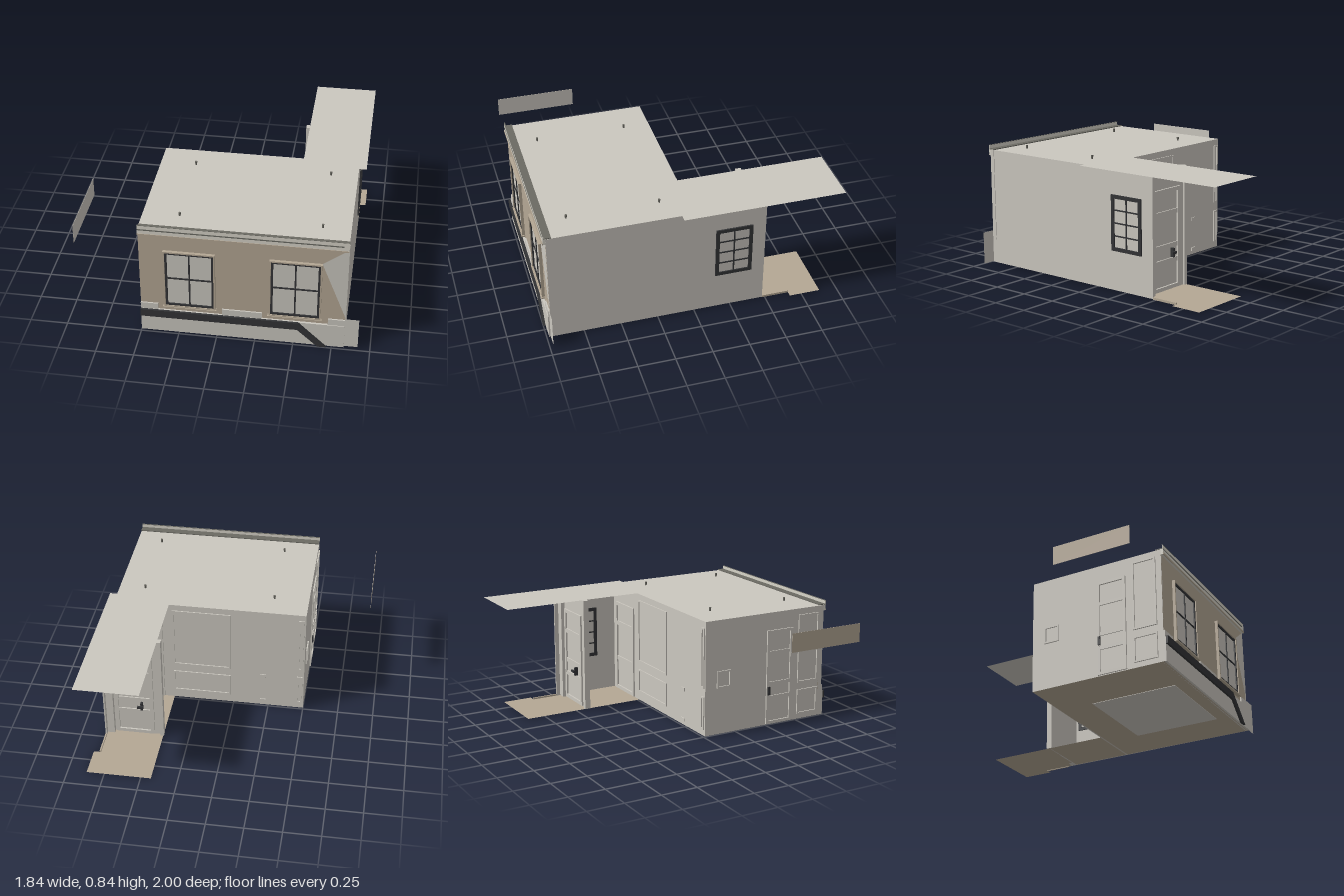
import * as THREE from 'three';

export function createModel() {
  const root = new THREE.Group();
  const mat = (name, color) => {
    const m = new THREE.MeshStandardMaterial({ color, side: THREE.DoubleSide });
    m.name = name;
    return m;
  };
  const plaster = mat('plaster grey', 0xcbc7bf);
  const tan = mat('warm tan', 0xb4a794);
  const cream = mat('cornice cream', 0xd6d3c8);
  const black = mat('frame black', 0x333436);
  const lead = mat('roof edge grey', 0x6b6a63);

  // Box given by its bounds
  function box(name, m, x0, x1, y0, y1, z0, z1, parent = root) {
    const mesh = new THREE.Mesh(new THREE.BoxGeometry(x1 - x0, y1 - y0, z1 - z0), m);
    mesh.position.set((x0 + x1) / 2, (y0 + y1) / 2, (z0 + z1) / 2);
    mesh.name = name;
    parent.add(mesh);
    return mesh;
  }
  const shapeOf = (pts) => new THREE.Shape(pts.map(([x, y]) => new THREE.Vector2(x, y)));
  // Flat outline facing +z, or lying flat when points are (x, z)
  function plate(name, m, pts, at, flat = false) {
    const mesh = new THREE.Mesh(new THREE.ShapeGeometry(
      shapeOf(flat ? pts.map(([x, z]) => [x, -z]) : pts)), m);
    if (flat) { mesh.rotation.x = -Math.PI / 2; mesh.position.y = at; } else mesh.position.z = at;
    mesh.name = name;
    root.add(mesh);
  }
  // Rectangular frame with optional bars, in its own xy plane centred on z = 0
  function frame(name, m, u0, u1, v0, v1, w, d, vBars = [], hBars = [], bar = 0.012) {
    const g = new THREE.Group();
    g.name = name;
    const b = (x0, x1, y0, y1, t) => box(name + ' bar', m, x0, x1, y0, y1, -t / 2, t / 2, g);
    b(u0, u0 + w, v0, v1, d);
    b(u1 - w, u1, v0, v1, d);
    b(u0 + w, u1 - w, v0, v0 + w, d);
    b(u0 + w, u1 - w, v1 - w, v1, d);
    vBars.forEach((u) => b(u - bar / 2, u + bar / 2, v0 + w, v1 - w, d * 0.7));
    hBars.forEach((v) => b(u0 + w, u1 - w, v - bar / 2, v + bar / 2, d * 0.6));
    root.add(g);
    return g;
  }
  const onBack = (g, z) => { g.position.z = z; return g; };
  // Turn so the frame's u axis runs along world z
  const onSide = (g, x) => { g.rotation.y = -Math.PI / 2; g.position.x = x; return g; };

  // Roof and floor
  plate('roof', plaster, [[-0.5, 0.01], [0.45, 0.01], [0.45, -1], [0.88, -1], [0.88, 0.09],
    [0.83, 0.09], [0.83, 0.97], [-0.5, 0.97]], 0.805, true);
  plate('floor', tan, [[-0.5, 0.01], [0.43, 0.01], [0.43, -0.88], [0.87, -0.88], [0.87, -0.667],
    [0.83, -0.667], [0.83, 0.97], [-0.5, 0.97]], 0.004, true);
  box('floorInset', plaster, -0.14, 0.52, 0, 0.003, 0.26, 0.87);
  box('threshold', tan, 0.82, 0.83, 0, 0.015, -0.667, -0.48);

  // Walls
  box('rightWall', plaster, 0.82, 0.83, 0.004, 0.804, -0.48, 0.97);
  box('leftWall', plaster, -0.5, -0.49, 0.004, 0.804, 0.01, 0.97);
  box('backWall', plaster, -0.49, 0.82, 0.004, 0.804, 0.01, 0.02);
  box('passageWall', plaster, 0.43, 0.82, 0.004, 0.804, -0.42, -0.41);
  box('passagePost', plaster, 0.425, 0.45, 0.004, 0.804, -0.435, -0.395);
  box('passageTrim', plaster, 0.77, 0.82, 0.004, 0.804, -0.45, -0.42);

  // Back wall panels and outlets
  [[0.02, 0.43, 0.3, 0.76], [0.02, 0.43, 0.07, 0.24], [-0.49, -0.45, 0.34, 0.76], [-0.49, -0.45, 0.05, 0.28]]
    .forEach(([a, b, c, d]) => onBack(frame('backPanel', plaster, a, b, c, d, 0.012, 0.012), 0.008));
  [0.25, 0.03].forEach((y) => box('outlet', plaster, -0.23, -0.19, y, y + 0.025, 0.003, 0.01));

  // Panelled doors on the passage wall, the back wall and the left wall
  onBack(frame('passageDoor', plaster, 0.49, 0.76, 0.01, 0.68, 0.025, 0.016, [], [0.2, 0.3, 0.52], 0.03), -0.424);
  onBack(frame('innerDoor', plaster, 0.5, 0.78, 0.01, 0.68, 0.025, 0.016, [], [0.25, 0.52], 0.03), 0.006);
  onSide(frame('leftDoor', plaster, 0.5, 0.71, 0.01, 0.68, 0.02, 0.014, [], [0.2, 0.3, 0.52], 0.025), -0.503);
  box('passageHandle', black, 0.56, 0.6, 0.245, 0.26, -0.46, -0.445);
  box('passageHandlePlate', black, 0.565, 0.58, 0.22, 0.28, -0.446, -0.42);
  box('leftHandle', black, -0.518, -0.509, 0.22, 0.28, 0.508, 0.525);

  // Left wall panels
  [[0.76, 0.93, 0.27, 0.76], [0.76, 0.93, 0.04, 0.22], [0.1, 0.21, 0.33, 0.45]]
    .forEach(([a, b, c, d]) => onSide(frame('leftPanel', plaster, a, b, c, d, 0.012, 0.012), -0.503));

  // Window in the right wall
  box('sideGlass', plaster, 0.83, 0.832, 0.28, 0.63, -0.38, -0.15);
  onSide(frame('sideWindow', black, -0.39, -0.14, 0.27, 0.64, 0.024, 0.016,
    [-0.265], [0.37, 0.455, 0.54], 0.009), 0.832);
  onSide(frame('sideWindowInside', black, -0.39, -0.14, 0.27, 0.64, 0.024, 0.01,
    [-0.265], [0.37, 0.455, 0.54], 0.009), 0.818);

  // Facade with a pale corner, plinth and pedestal blocks
  box('facade', tan, -0.5, 0.83, 0.17, 0.775, 0.94, 0.97);
  box('facadeEnd', plaster, 0.83, 0.834, 0.17, 0.805, 0.94, 0.97);
  plate('paleCorner', plaster, [[0.83, 0.77], [0.67, 0.65], [0.83, 0.24]], 0.973);
  box('plinth', plaster, -0.5, 0.83, 0.004, 0.175, 0.955, 0.985);
  [[-0.5, -0.385], [0.035, 0.295], [0.72, 0.83]].forEach(([a, b]) =>
    box('pedestal', plaster, a, b, 0.175, 0.22, 0.955, 0.98));
  plate('cornerPanel', plaster, [[0.83, 0.008], [0.92, 0.008], [0.92, 0.23], [0.83, 0.23]], 0.975);

  // Front windows
  [-0.175, 0.505].forEach((x) => {
    box('frontGlass', plaster, x - 0.15, x + 0.15, 0.225, 0.64, 0.968, 0.974);
    onBack(frame('frontWindow', black, x - 0.157, x + 0.157, 0.222, 0.64, 0.014, 0.016, [x], [0.437], 0.01), 0.975);
    onBack(frame('frontTrim', tan, x - 0.167, x + 0.167, 0.212, 0.65, 0.01, 0.024), 0.978);
    box('sill', tan, x - 0.175, x + 0.175, 0.205, 0.215, 0.965, 0.995);
  });

  // Dark band that drops to the ground at the right
  const band = new THREE.Mesh(new THREE.ExtrudeGeometry(shapeOf([[-0.5, 0.125], [0.525, 0.125],
    [0.66, 0.002], [0.715, 0.002], [0.53, 0.178], [-0.5, 0.178]]), { depth: 0.015, bevelEnabled: false }), black);
  band.position.z = 0.985;
  band.name = 'slopingBand';
  root.add(band);

  // Cornice: stepped cream front with a dark top
  box('corniceLower', cream, -0.5, 0.832, 0.765, 0.805, 0.965, 0.985);
  box('corniceLine', lead, -0.5, 0.8, 0.8, 0.808, 0.984, 0.988);
  box('corniceFront', cream, -0.5, 0.832, 0.775, 0.834, 0.98, 0.986);
  box('corniceTop', lead, -0.5, 0.832, 0.806, 0.812, 0.932, 0.98);
  box('corniceCap', lead, -0.5, 0.832, 0.834, 0.836, 0.978, 0.987);
  box('corniceBead', tan, -0.5, 0.832, 0.765, 0.775, 0.985, 0.99);

  // Small ceiling fixtures poking through the roof
  for (const x of [-0.26, 0.65]) for (const z of [0.19, 0.8]) {
    const f = new THREE.Mesh(new THREE.CylinderGeometry(0.008, 0.006, 0.026, 10), lead);
    f.position.set(x, 0.817, z);
    f.name = 'roofFixture';
    root.add(f);
  }

  // Detached panel at the left, grey inside and tan outside
  box('detachedPanelInner', plaster, -0.92, -0.919, 0.64, 0.77, 0.41, 0.96);
  box('detachedPanelOuter', tan, -0.921, -0.92, 0.64, 0.77, 0.41, 0.96);

  return root;
}
